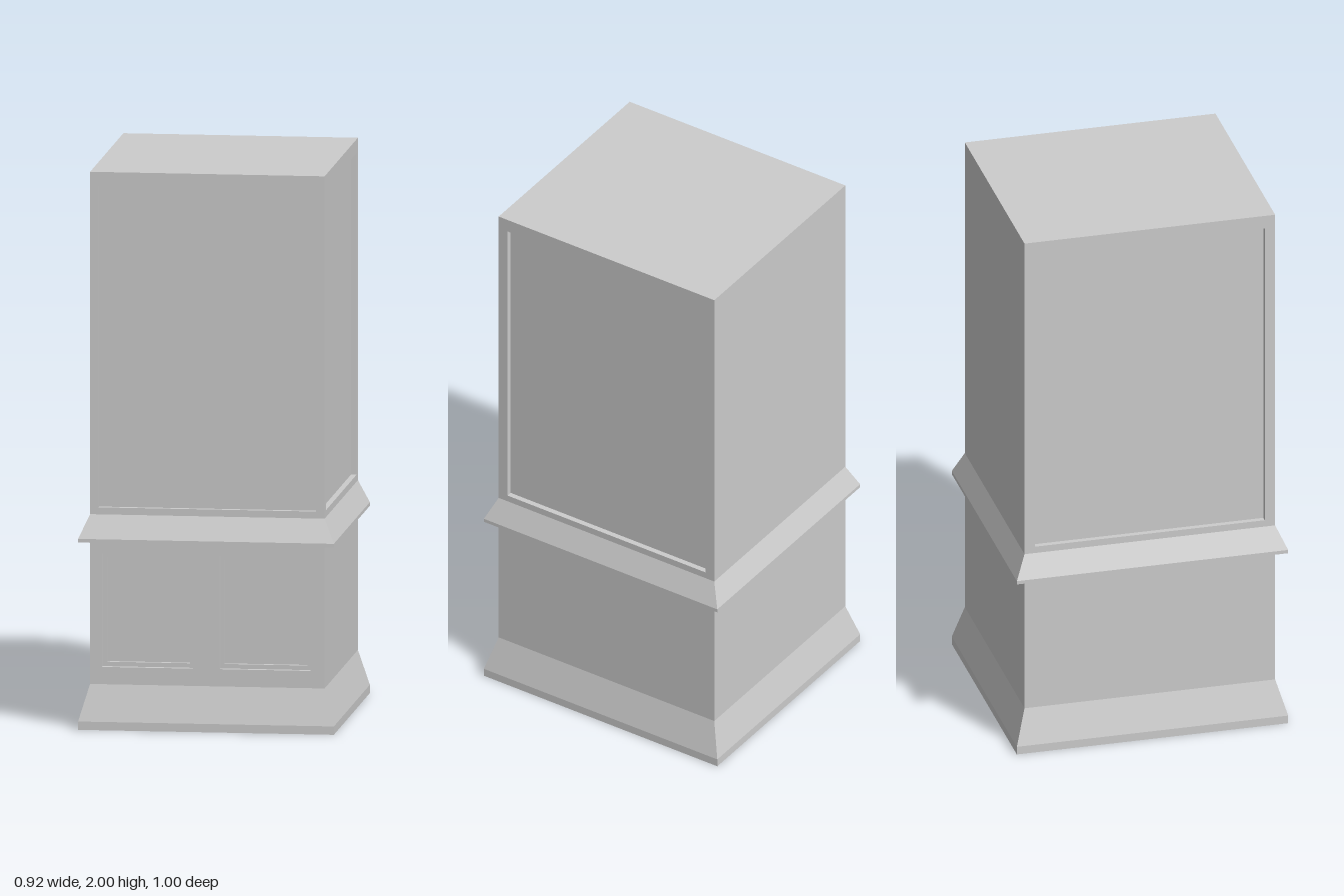
import * as THREE from 'three';

const W = 0.42, D = 0.46;       // half width and half depth of the cabinet
const FLARE = 0.038;            // how far base and ledge stick out
const RECESS = 0.02;

// Skin through a row of rectangles [x0, x1, y0, y1, z]; optional cap on the last one
function loft(rects, cap = false) {
  const pos = [];
  const rings = rects.map(([x0, x1, y0, y1, z]) =>
    [[x0, y0, z], [x1, y0, z], [x1, y1, z], [x0, y1, z]]);
  const quad = (a, b, c, d) => pos.push(...a, ...b, ...c, ...a, ...c, ...d);
  for (let r = 0; r + 1 < rings.length; r++) {
    for (let i = 0; i < 4; i++) {
      const j = (i + 1) % 4;
      quad(rings[r][i], rings[r][j], rings[r + 1][j], rings[r + 1][i]);
    }
  }
  if (cap) quad(...rings[rings.length - 1]);
  const geo = new THREE.BufferGeometry();
  geo.setAttribute('position', new THREE.Float32BufferAttribute(pos, 3));
  geo.computeVertexNormals();
  return geo;
}

// Horizontal moulding around the cabinet from [outward offset, height] pairs
function moulding(profile) {
  const rects = profile.map(([o, y]) => [-W - o, W + o, -D - o, D + o, y]);
  return loft(rects).rotateX(-Math.PI / 2);
}

// Flat wall facing +z with rectangular openings [x0, x1, y0, y1]
function wallGeometry(halfWidth, y0, y1, openings) {
  const trace = (path, a, b, c, d) =>
    path.moveTo(a, c).lineTo(b, c).lineTo(b, d).lineTo(a, d).closePath();
  const shape = trace(new THREE.Shape(), -halfWidth, halfWidth, y0, y1);
  for (const o of openings) shape.holes.push(trace(new THREE.Path(), ...o));
  return new THREE.ShapeGeometry(shape);
}

export function createModel() {
  const model = new THREE.Group();
  model.name = 'cabinet';
  const material = new THREE.MeshStandardMaterial({ color: 0xcccccc, flatShading: true });
  const add = (name, geo, parent = model) => {
    const mesh = new THREE.Mesh(geo, material);
    mesh.name = name;
    parent.add(mesh);
    return mesh;
  };

  // Flared plinth and its underside
  add('plinth', moulding([[FLARE, 0], [FLARE, 0.03], [0, 0.16]]));
  add('underside', new THREE.PlaneGeometry(2 * (W + FLARE), 2 * (D + FLARE)).rotateX(Math.PI / 2));

  // Sloped ledge between the lower and upper cabinet
  add('ledge', moulding([[0, 0.673], [FLARE, 0.673], [FLARE, 0.686], [0, 0.77]]));

  add('top', new THREE.PlaneGeometry(2 * W, 2 * D).rotateX(-Math.PI / 2)).position.y = 2;

  // Four sides: the back is plain, the others have a large recessed upper panel
  const doors = [[-0.377, -0.052, 0.222, 0.63], [0.044, 0.37, 0.222, 0.63]];
  const sides = [
    { name: 'front', half: W, out: D, angle: 0, panel: true, doors },
    { name: 'left', half: D, out: W, angle: Math.PI / 2, panel: true, doors: [] },
    { name: 'back', half: W, out: D, angle: Math.PI, panel: false, doors: [] },
    { name: 'right', half: D, out: W, angle: -Math.PI / 2, panel: true, doors: [] },
  ];
  for (const s of sides) {
    const side = new THREE.Group();
    side.name = s.name + 'Side';
    side.rotation.y = s.angle;
    side.position.set(Math.sin(s.angle) * s.out, 0, Math.cos(s.angle) * s.out);
    model.add(side);

    const h = s.half - (s.half === W ? 0.03 : 0.038);
    const panel = [-h, h, 0.795, 1.95];
    add(s.name + 'UpperWall', wallGeometry(s.half, 0.77, 2, s.panel ? [panel] : []), side);
    add(s.name + 'LowerWall', wallGeometry(s.half, 0.16, 0.673, s.doors), side);

    if (s.panel) {
      add(s.name + 'Panel', loft([[...panel, 0], [...panel, -RECESS]], true), side);
    }
    // Doors step back twice
    for (const [x0, x1, y0, y1] of s.doors) {
      const inner = [x0 + 0.015, x1 - 0.013, y0 + 0.016, y1 - 0.016];
      add('doorPanel', loft([
        [x0, x1, y0, y1, 0], [x0, x1, y0, y1, -RECESS],
        [...inner, -RECESS], [...inner, -RECESS * 1.8],
      ], true), side);
    }
  }
  return model;
}
